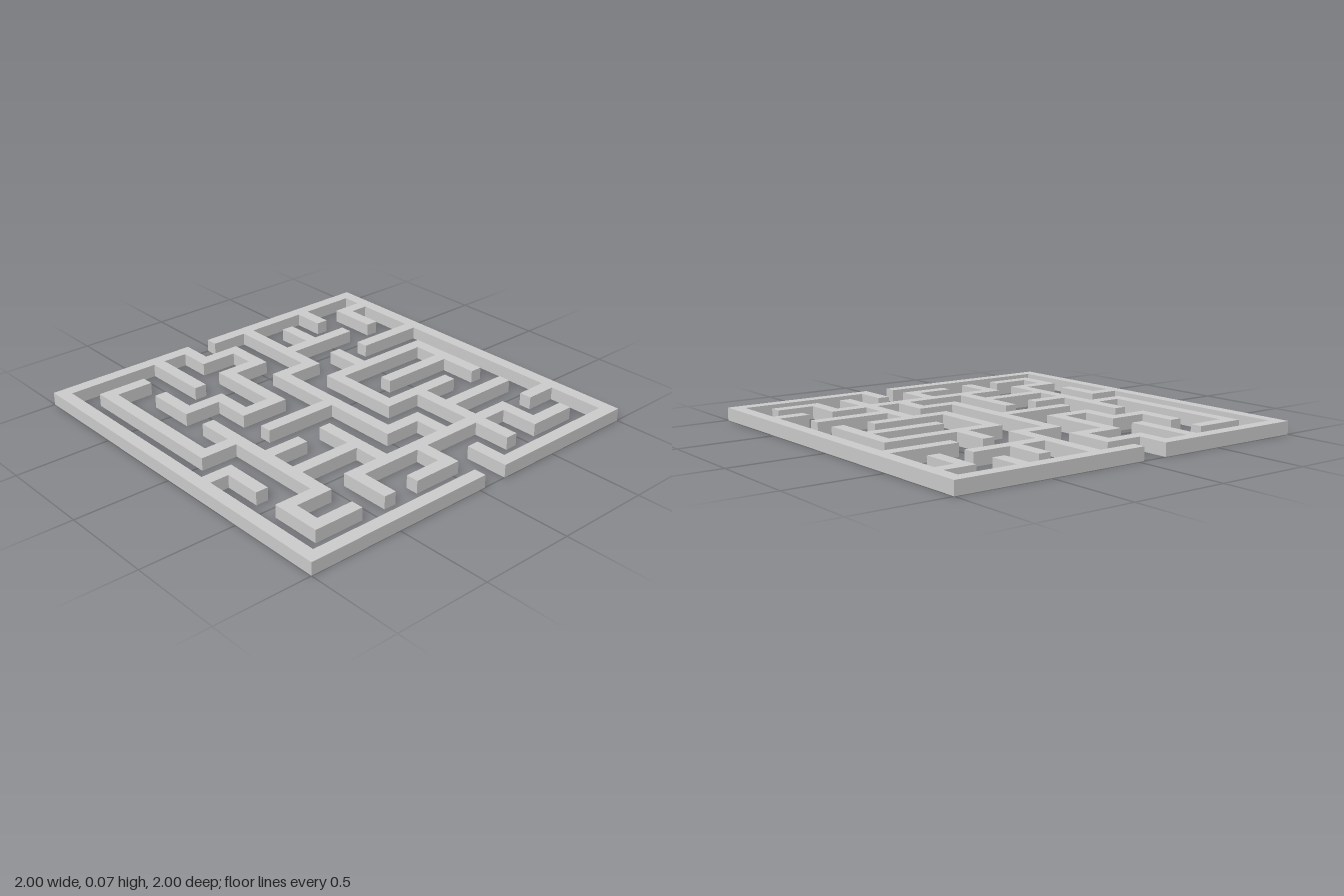
import * as THREE from 'three';

const N = 10;             // cells per side
const T = 1 / 15;         // wall thickness
const H = 1 / 15;         // wall height

// Runs of wall along x: for each grid row, [first column, last column]
const ROWS = [
  [[0, 10]],
  [[1, 2], [4, 6]],
  [[0, 1], [8, 9]],
  [[1, 2], [3, 4], [6, 9]],
  [[0, 3], [4, 6], [7, 8], [9, 10]],
  [[1, 2], [3, 7], [8, 9]],
  [[0, 1], [2, 4], [6, 8]],
  [[0, 2], [3, 4], [8, 9]],
  [[2, 3], [4, 8]],
  [[1, 5], [6, 7], [8, 9]],
  [[0, 10]],
];

// Runs of wall along z: for each grid column, [first row, last row]
const COLUMNS = [
  [[0, 5], [6, 10]],
  [[0, 1], [5, 6], [8, 9]],
  [[2, 4], [5, 6]],
  [[0, 2], [4, 5], [7, 8]],
  [[1, 4], [6, 7]],
  [[1, 3], [5, 7], [8, 9]],
  [[2, 4], [7, 8], [9, 10]],
  [[1, 3], [4, 5], [6, 8]],
  [[0, 1], [2, 7], [8, 9]],
  [[1, 2], [5, 6], [8, 9]],
  [[0, 4], [5, 10]],
];

// Edges of the posts (even tiles) and of the panels between them (odd tiles)
const edges = [];
for (let i = 0; i <= N; i++) {
  const c = THREE.MathUtils.clamp(-1 + (2 * i) / N, -1 + T / 2, 1 - T / 2);
  edges.push(c - T / 2, c + T / 2);
}
const LAST = 2 * N;

// Mark every tile covered by a wall, so that crossing walls join cleanly
function layOut() {
  const solid = new Set();
  ROWS.forEach((runs, r) => runs.forEach(([a, b]) => {
    for (let i = 2 * a; i <= 2 * b; i++) solid.add(i + ',' + 2 * r);
  }));
  COLUMNS.forEach((runs, c) => runs.forEach(([a, b]) => {
    for (let j = 2 * a; j <= 2 * b; j++) solid.add(2 * c + ',' + j);
  }));
  return solid;
}

// Top, bottom and exposed sides of the chosen tiles
function wallGeometry(solid, include) {
  const position = [], normal = [];
  const quad = (n, a, b, c, d) => {
    for (const p of [a, b, c, a, c, d]) {
      position.push(...p);
      normal.push(...n);
    }
  };
  for (let i = 0; i <= LAST; i++) {
    for (let j = 0; j <= LAST; j++) {
      if (!solid.has(i + ',' + j) || !include(i, j)) continue;
      const x0 = edges[i], x1 = edges[i + 1], z0 = edges[j], z1 = edges[j + 1];
      const open = (di, dj) => !solid.has((i + di) + ',' + (j + dj));
      quad([0, 1, 0], [x0, H, z1], [x1, H, z1], [x1, H, z0], [x0, H, z0]);
      quad([0, -1, 0], [x0, 0, z0], [x1, 0, z0], [x1, 0, z1], [x0, 0, z1]);
      if (open(1, 0)) quad([1, 0, 0], [x1, 0, z1], [x1, 0, z0], [x1, H, z0], [x1, H, z1]);
      if (open(-1, 0)) quad([-1, 0, 0], [x0, 0, z0], [x0, 0, z1], [x0, H, z1], [x0, H, z0]);
      if (open(0, 1)) quad([0, 0, 1], [x0, 0, z1], [x1, 0, z1], [x1, H, z1], [x0, H, z1]);
      if (open(0, -1)) quad([0, 0, -1], [x1, 0, z0], [x0, 0, z0], [x0, H, z0], [x1, H, z0]);
    }
  }
  const g = new THREE.BufferGeometry();
  g.setAttribute('position', new THREE.Float32BufferAttribute(position, 3));
  g.setAttribute('normal', new THREE.Float32BufferAttribute(normal, 3));
  return g;
}

export function createModel() {
  const maze = new THREE.Group();
  maze.name = 'maze';
  const material = new THREE.MeshStandardMaterial({ color: 0xcccccc });
  const solid = layOut();
  const onRim = (i, j) => i === 0 || j === 0 || i === LAST || j === LAST;

  // Outer wall with its two gateways
  const outer = new THREE.Mesh(wallGeometry(solid, onRim), material);
  outer.name = 'outerWall';

  // Passage walls
  const inner = new THREE.Mesh(wallGeometry(solid, (i, j) => !onRim(i, j)), material);
  inner.name = 'innerWalls';

  maze.add(outer, inner);
  return maze;
}
